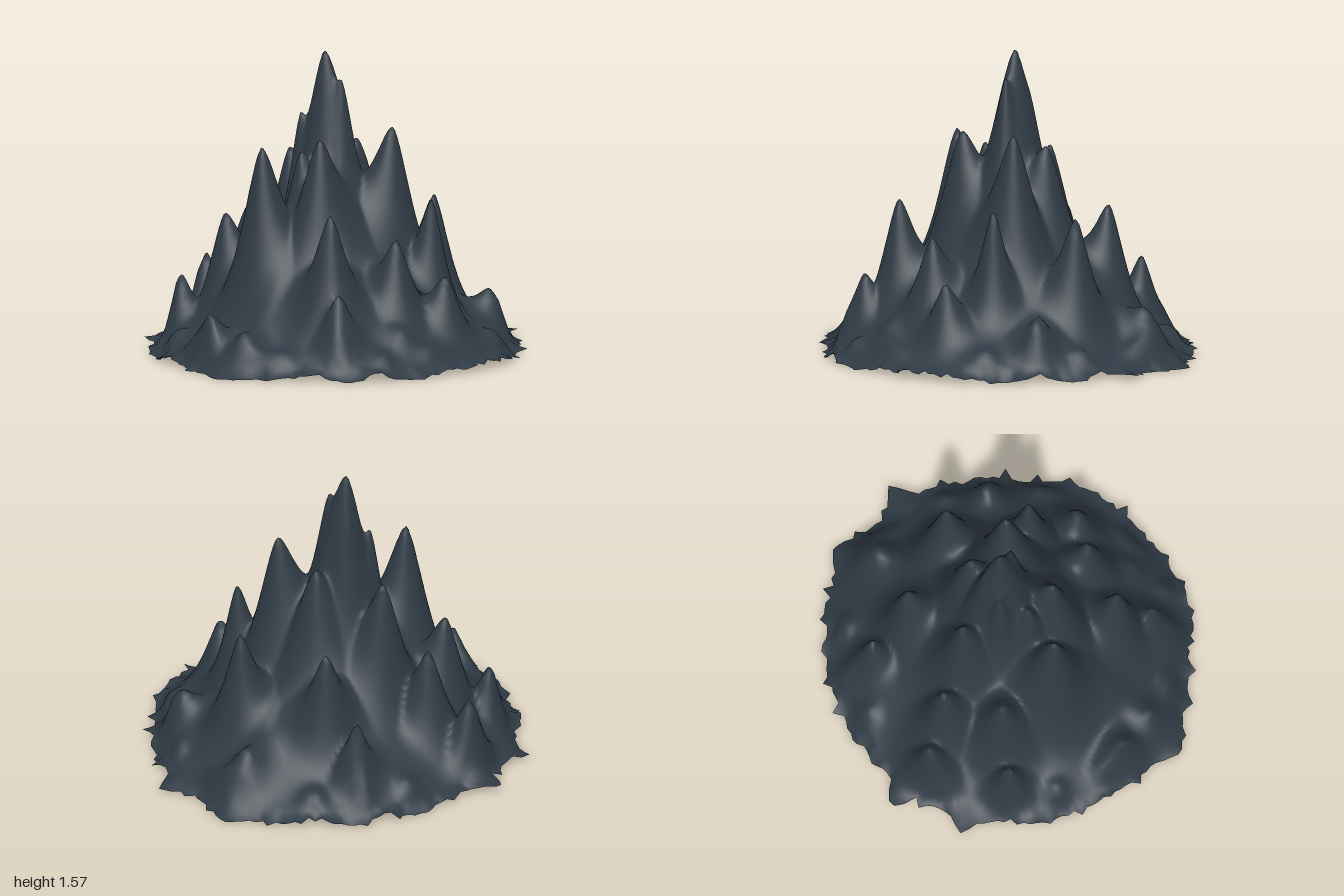
import * as THREE from 'three';

// Spires: x, z, tip height, width
const PEAKS = [
  [-0.07, -0.08, 1.58, 0.14], [-0.06, -0.15, 1.27, 0.1], [0.015, 0.0, 1.41, 0.08],
  [-0.19, -0.1, 1.26, 0.075], [-0.21, 0.05, 1.09, 0.09], [0.28, 0.03, 1.19, 0.125],
  [-0.13, 0.2, 1.15, 0.125], [-0.43, 0.14, 1.11, 0.13], [-0.22, -0.31, 1.04, 0.115],
  [0.12, -0.2, 1.09, 0.12], [0.46, 0.19, 0.87, 0.085], [0.53, -0.24, 0.77, 0.1],
  [-0.12, 0.54, 0.85, 0.11], [0.24, 0.46, 0.67, 0.09], [0.5, 0.46, 0.48, 0.09],
  [-0.1, 0.73, 0.43, 0.085], [0.78, 0.03, 0.34, 0.1], [-0.58, -0.17, 0.71, 0.11],
  [-0.8, -0.18, 0.39, 0.085], [-0.43, -0.45, 0.7, 0.105], [0.01, -0.74, 0.48, 0.08],
  [-0.62, -0.56, 0.39, 0.09], [0.13, -0.53, 0.78, 0.105], [0.57, -0.6, 0.26, 0.1],
  [-0.74, 0.44, 0.28, 0.09], [0.24, 0.7, 0.23, 0.08], [-0.58, 0.62, 0.2, 0.09],
];

// Foot radius every 15 degrees, from +x towards +z
const FOOT = [0.95, 0.94, 0.96, 0.95, 0.93, 0.95, 0.97, 0.93, 0.97, 1.02, 0.98, 0.98,
  0.98, 0.97, 0.98, 1.0, 0.96, 0.97, 0.98, 0.98, 1.0, 1.04, 0.98, 0.98];
// Long spurs on the foot: angle in degrees, length
const SPURS = [[135, 0.04], [185, 0.02], [206, 0.09], [227, 0.1], [312, 0.04], [336, 0.11]];

const RINGS = 72, SEGMENTS = 180;
const CONE = 0.93;

function seeded(seed) {
  return () => {
    seed = (seed * 16807) % 2147483647;
    return seed / 2147483647;
  };
}

const cone = (t) => CONE * Math.pow(Math.max(0, 1 - t), 1.3);

// Gullies on the flanks and small lumps around the foot
function roughness(t, angle, x, z) {
  const gullies = 0.12 * Math.sin(9 * x + 4 * z) * Math.sin(8 * z - 3 * x + 1) * t * (1 - t);
  const lumps = Math.pow(0.5 + 0.5 * Math.sin(15 * angle + 2 * Math.sin(4 * angle)), 2);
  return gullies + 0.05 * lumps * Math.exp(-Math.pow((t - 0.88) / 0.06, 2));
}

// Round-tipped spires blend into one another and rise out of the cone
function spires(t, x, z) {
  let sum = 0;
  for (const [px, pz, tip, width] of PEAKS) {
    const rise = tip - 0.03 - cone(Math.hypot(px, pz) / 0.97);
    const d = Math.hypot(x - px, z - pz) / width;
    sum += Math.pow(rise * Math.exp(-Math.pow(d, 1.6)), 5);
  }
  return Math.pow(sum, 0.2) * Math.min(1, (1 - t) * 8);
}

// Ragged outline: broad lobes, small teeth and long spurs
function footRim() {
  const random = seeded(73);
  const rim = [];
  for (let j = 0; j < SEGMENTS; j++) {
    const a = (j / SEGMENTS) * FOOT.length, k = Math.floor(a);
    const lobe = THREE.MathUtils.lerp(FOOT[k], FOOT[(k + 1) % FOOT.length], a - k);
    let tooth = j % 5 === 0 ? 0.035 * random() : -0.025 * random();
    for (const [degrees, length] of SPURS) {
      const near = Math.max(0, 1 - Math.abs(j * 360 / SEGMENTS - degrees) / 5);
      if (near > 0) tooth = length * near;
    }
    const wave = 0.5 + 0.5 * Math.sin(j * 0.35 + 2 * Math.sin(j * 0.14));
    rim.push({ lobe, tooth, y: 0.005 + 0.05 * wave * (0.4 + 0.6 * random()) });
  }
  return rim;
}

function mountainGeometry() {
  const rim = footRim();
  const positions = [], indices = [];

  for (let i = 0; i <= RINGS; i++) {
    const t = i / RINGS;
    const edge = Math.max(0, (t - 0.92) / 0.08);
    for (let j = 0; j < SEGMENTS; j++) {
      const angle = (j / SEGMENTS) * Math.PI * 2;
      const { lobe, tooth, y } = rim[j];
      const r = lobe * t + tooth * edge;
      const x = r * Math.cos(angle), z = r * Math.sin(angle);
      const height = cone(t) + roughness(t, angle, x, z) * Math.min(1, (1 - t) * 12) + spires(t, x, z);
      positions.push(x, height + THREE.MathUtils.lerp(0.03, y, edge), z);
    }
  }
  for (let i = 0; i < RINGS; i++) {
    for (let j = 0; j < SEGMENTS; j++) {
      const n = (j + 1) % SEGMENTS;
      const a = i * SEGMENTS + j, d = i * SEGMENTS + n;
      const b = a + SEGMENTS, c = d + SEGMENTS;
      if (i > 0) indices.push(a, d, b);
      indices.push(d, c, b);
    }
  }

  const geometry = new THREE.BufferGeometry();
  geometry.setAttribute('position', new THREE.Float32BufferAttribute(positions, 3));
  geometry.setIndex(indices);
  geometry.computeVertexNormals();
  return geometry;
}

export function createModel() {
  const group = new THREE.Group();
  group.name = 'spiredMountain';

  const rock = new THREE.MeshStandardMaterial({ color: 0x2f3a44, side: THREE.DoubleSide });
  rock.name = 'darkSlateRock';

  // Hollow rock shell, open underneath
  const shell = new THREE.Mesh(mountainGeometry(), rock);
  shell.name = 'mountainShell';
  group.add(shell);
  return group;
}
